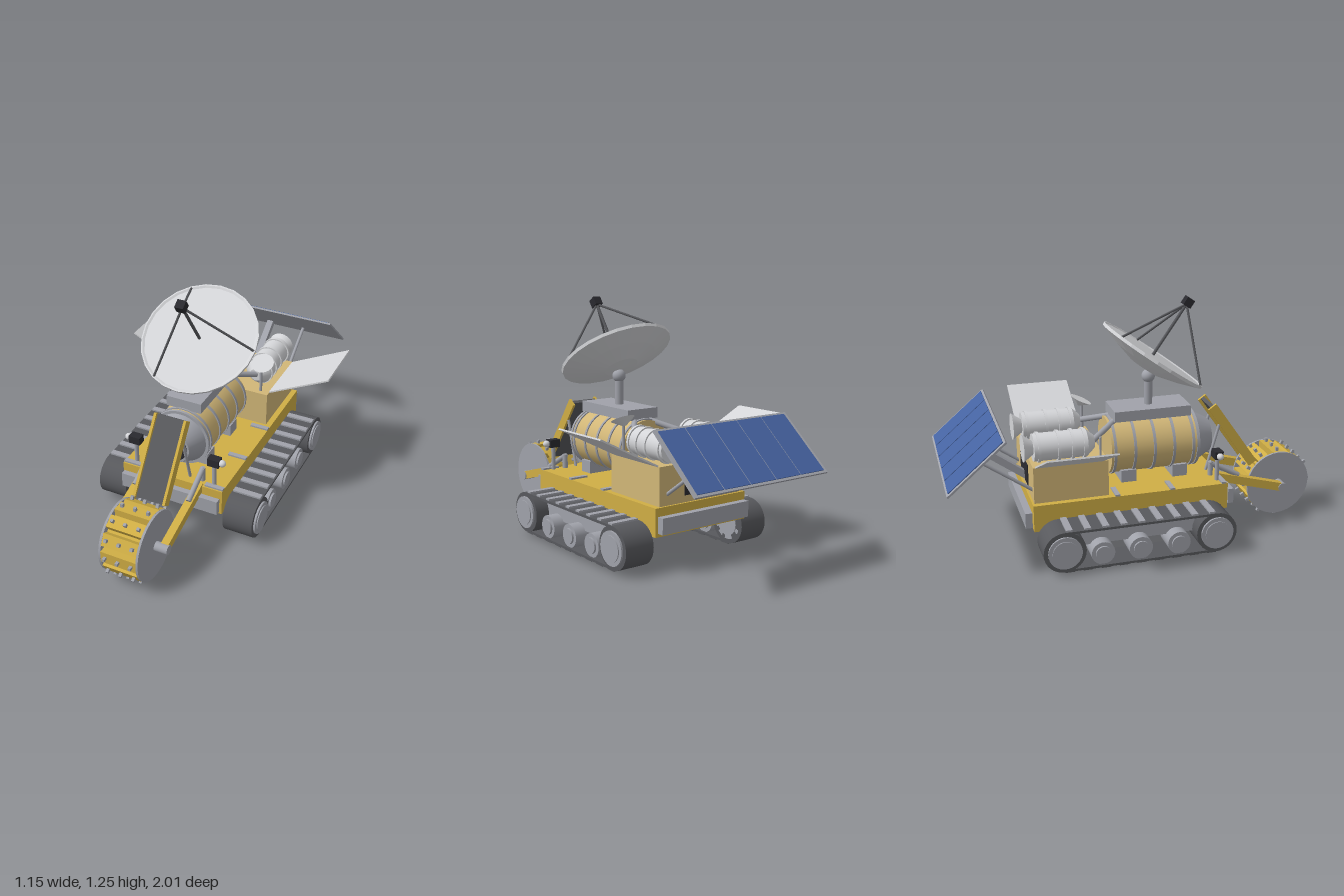
import * as THREE from 'three';

const mat = (name, color, side = THREE.FrontSide) => {
  const m = new THREE.MeshStandardMaterial({ color, side });
  m.name = name;
  return m;
};
const yellow = mat('yellow paint', 0xd0ae45);
const tan = mat('tan foil', 0xd2b778);
const gray = mat('gray metal', 0xa0a2aa);
const dark = mat('dark rubber', 0x58595d);
const black = mat('black', 0x2a2a2f);
const white = mat('light shell', 0xd4d5d8, THREE.DoubleSide);
const blue = mat('solar blue', 0x4562a0);

export function createModel() {
  const root = new THREE.Group();
  const add = (name, geo, m, x = 0, y = 0, z = 0, parent = root) => {
    const mesh = new THREE.Mesh(geo, m);
    mesh.name = name;
    mesh.position.set(x, y, z);
    parent.add(mesh);
    return mesh;
  };
  const group = (name, x = 0, y = 0, z = 0, parent = root) => {
    const g = new THREE.Group();
    g.name = name;
    g.position.set(x, y, z);
    parent.add(g);
    return g;
  };
  const box = (name, m, w, h, d, x, y, z, parent) =>
    add(name, new THREE.BoxGeometry(w, h, d), m, x, y, z, parent);
  // Cylinders whose axis runs along x, or along z (first radius faces +z)
  const cylX = (name, m, r, len, x, y, z, parent, seg = 32) =>
    add(name, new THREE.CylinderGeometry(r, r, len, seg).rotateZ(Math.PI / 2), m, x, y, z, parent);
  const cylZ = (name, m, rFront, rBack, len, x, y, z, parent) =>
    add(name, new THREE.CylinderGeometry(rFront, rBack, len, 32).rotateX(Math.PI / 2), m, x, y, z, parent);
  const rod = (name, m, a, b, r, parent) => {
    const p = new THREE.Vector3(...a), q = new THREE.Vector3(...b);
    const d = q.clone().sub(p);
    const mesh = add(name, new THREE.CylinderGeometry(r, r, d.length(), 12), m, 0, 0, 0, parent);
    mesh.position.copy(p).add(q).multiplyScalar(0.5);
    mesh.quaternion.setFromUnitVectors(new THREE.Vector3(0, 1, 0), d.normalize());
    return mesh;
  };
  // Box beam between two points that share the same x
  const beam = (name, m, w, h, x, y1, z1, y2, z2, parent) => {
    const mesh = box(name, m, w, h, Math.hypot(y2 - y1, z2 - z1), x, (y1 + y2) / 2, (z1 + z2) / 2, parent);
    mesh.rotation.x = -Math.atan2(y2 - y1, z2 - z1);
    return mesh;
  };

  // Chassis, bumpers and deck strips
  box('chassis', yellow, 0.56, 0.14, 1.02, 0, 0.25, -0.07);
  box('frontBumper', gray, 0.54, 0.08, 0.03, 0, 0.24, 0.463);
  box('rearBumper', gray, 0.54, 0.08, 0.035, 0, 0.24, -0.603);
  for (const z of [0.42, 0.14, -0.15]) for (const s of [-1, 1])
    box('deckStrip', gray, 0.1, 0.01, 0.025, s * 0.23, 0.324, z);

  // Tracks
  for (const s of [-1, 1]) {
    const track = group(s > 0 ? 'leftTrack' : 'rightTrack', s * 0.36);
    for (const z of [0.325, -0.46]) {
      cylX('trackDrum', dark, 0.107, 0.16, 0, 0.13, z, track);
      cylX('driveHub', gray, 0.085, 0.17, s * 0.005, 0.13, z, track);
      cylX('hubCap', gray, 0.065, 0.18, s * 0.005, 0.13, z, track);
    }
    box('upperRun', dark, 0.16, 0.012, 0.785, 0, 0.231, -0.0675, track);
    box('lowerRun', dark, 0.16, 0.012, 0.785, 0, 0.029, -0.0675, track);
    box('trackFrame', gray, 0.07, 0.07, 0.6, -s * 0.03, 0.155, -0.07, track);
    for (const z of [0.13, -0.07, -0.265]) {
      cylX('roadWheel', gray, 0.06, 0.13, 0, 0.092, z, track);
      cylX('roadWheelCap', gray, 0.04, 0.15, 0, 0.092, z, track);
    }
    for (let i = 0; i < 9; i++) {
      const z = 0.3 - i * 0.092;
      box('trackShoe', gray, 0.15, 0.012, 0.032, 0, 0.24, z, track);
      box('lowerShoe', dark, 0.15, 0.01, 0.05, 0, 0.022, z, track);
    }
  }

  // Drum with bands, end cap, cone and saddles
  const drum = group('processingDrum', 0, 0.495, 0);
  cylZ('drumShell', tan, 0.15, 0.15, 0.465, 0, 0, 0.088, drum);
  cylZ('endCap', gray, 0.155, 0.155, 0.015, 0, 0, 0.322, drum);
  cylZ('inletCone', gray, 0.09, 0.14, 0.09, 0, 0, 0.374, drum);
  cylZ('inletMouth', black, 0.078, 0.078, 0.004, 0, 0, 0.42, drum);
  for (let i = 0; i < 5; i++) cylZ('drumBand', gray, 0.156, 0.156, 0.014, 0, 0, 0.295 - i * 0.105, drum);
  for (const z of [0.23, -0.048]) box('saddle', gray, 0.24, 0.07, 0.08, 0, 0.35, z);
  box('mastBase', gray, 0.19, 0.055, 0.41, 0, 0.672, 0.09);

  // Mast and main dish
  add('mast', new THREE.CylinderGeometry(0.022, 0.022, 0.15, 20), gray, 0, 0.765, 0.09);
  add('mastHead', new THREE.SphereGeometry(0.035, 20, 14), gray, 0, 0.85, 0.09);
  const dish = group('mainDish', 0, 0.96, 0.115);
  dish.rotation.x = 0.608;
  const profile = [[0, -0.085], [0.09, -0.078], [0.2, -0.046], [0.3, -0.01], [0.302, 0.006], [0.295, 0.006], [0.285, 0], [0, 0]];
  const dishGeo = new THREE.LatheGeometry(profile.map(p => new THREE.Vector2(...p)), 24).toNonIndexed();
  dishGeo.computeVertexNormals();
  add('dishBowl', dishGeo, white, 0, 0, 0, dish);
  rod('feedRod', dark, [0, 0, 0], [0, 0.31, 0], 0.008, dish);
  for (let i = 0; i < 3; i++) {
    const a = i * Math.PI * 2 / 3;
    rod('feedStrut', dark, [0.295 * Math.cos(a), 0, 0.295 * Math.sin(a)], [0, 0.31, 0], 0.006, dish);
  }
  box('feedHorn', black, 0.045, 0.045, 0.045, 0, 0.322, 0, dish);

  // Rear equipment box
  box('equipmentBox', tan, 0.5, 0.19, 0.38, 0, 0.415, -0.38);
  box('rearHatch', black, 0.2, 0.11, 0.006, 0, 0.41, -0.572);

  // Tanks, pipes and folding side panels
  for (const s of [-1, 1]) {
    const tank = group('tank', s * 0.16, 0.583, 0);
    cylZ('tankBody', white, 0.07, 0.07, 0.27, 0, 0, -0.42, tank);
    cylZ('tankShoulder', white, 0.035, 0.07, 0.04, 0, 0, -0.265, tank);
    cylZ('tankNozzle', white, 0.035, 0.07, 0.05, 0, 0, -0.58, tank);
    for (const z of [-0.3, -0.36, -0.43, -0.53]) cylZ('tankBand', white, 0.077, 0.077, 0.014, 0, 0, z, tank);
    rod('tankPipe', gray, [s * 0.16, 0.585, -0.25], [s * 0.04, 0.64, -0.1], 0.015);
    const panel = box('sidePanel', white, 0.362, 0.008, 0.34, s * 0.412, 0.593, -0.39);
    panel.rotation.z = s * 0.463;
  }

  // Small dish and whip antenna
  rod('smallDishPost', gray, [0.2, 0.51, -0.22], [0.2, 0.66, -0.22], 0.008);
  rod('antenna', gray, [-0.205, 0.51, -0.22], [-0.205, 0.62, -0.22], 0.006);
  const small = add('smallDish', new THREE.CylinderGeometry(0.06, 0.008, 0.035, 20), white, 0.205, 0.667, -0.23);
  small.rotation.x = 0.45;

  // Solar array; local +y is the sunlit side
  const solar = group('solarArray', 0, 0.597, -0.857);
  solar.rotation.x = -0.71;
  box('solarFrame', gray, 0.81, 0.01, 0.375, 0, 0, 0, solar);
  for (let i = -2; i <= 2; i++) box('solarCell', blue, 0.149, 0.006, 0.35, i * 0.156, 0.006, 0, solar);
  beam('solarBoom', gray, 0.036, 0.036, 0, 0.37, -0.56, 0.575, -0.84);
  for (const s of [-1, 1]) rod('solarStrut', gray, [s * 0.2, 0.37, -0.56], [s * 0.2, 0.575, -0.85], 0.009);

  // Bucket wheel
  const wheel = group('bucketWheel', 0, 0.202, 0.806);
  cylX('wheelCore', yellow, 0.145, 0.19, 0, 0, 0, wheel);
  for (const s of [-1, 1]) cylX('wheelDisc', gray, 0.18, 0.012, s * 0.1, 0, 0, wheel);
  cylX('wheelAxle', gray, 0.025, 0.35, 0, 0, 0, wheel);
  for (let i = 0; i < 12; i++) {
    const bucket = group('bucket', 0, 0, 0, wheel);
    bucket.rotation.x = i * Math.PI / 6;
    box('scoop', yellow, 0.19, 0.05, 0.062, 0, 0.153, 0, bucket);
    for (const x of [-0.07, 0, 0.07]) box('tooth', gray, 0.015, 0.03, 0.015, x, 0.183, 0, bucket);
  }

  // Digging arms, rams and lamps
  for (const s of [-1, 1]) {
    beam('diggerArm', yellow, 0.04, 0.045, s * 0.15, 0.31, 0.42, 0.202, 0.806);
    rod('ram', gray, [s * 0.15, 0.39, 0.385], [s * 0.15, 0.3, 0.55], 0.014);
    rod('ramPost', gray, [s * 0.15, 0.32, 0.39], [s * 0.15, 0.395, 0.39], 0.014);
    rod('lampPost', gray, [s * 0.22, 0.32, 0.4], [s * 0.22, 0.45, 0.4], 0.011);
    box('lampHousing', black, 0.062, 0.042, 0.045, s * 0.22, 0.465, 0.4);
    const lens = add('lampLens', new THREE.SphereGeometry(0.018, 16, 12), white, s * 0.262, 0.465, 0.4);
    lens.scale.x = 1.1;
    rod('conveyorBrace', gray, [s * 0.08, 0.57, 0.46], [s * 0.08, 0.32, 0.39], 0.008);
  }

  // Conveyor
  beam('conveyorBelt', dark, 0.15, 0.02, 0, 0.675, 0.418, 0.33, 0.66);
  for (const s of [-1, 1]) beam('conveyorRail', yellow, 0.014, 0.05, s * 0.081, 0.675, 0.418, 0.33, 0.66);

  return root;
}
